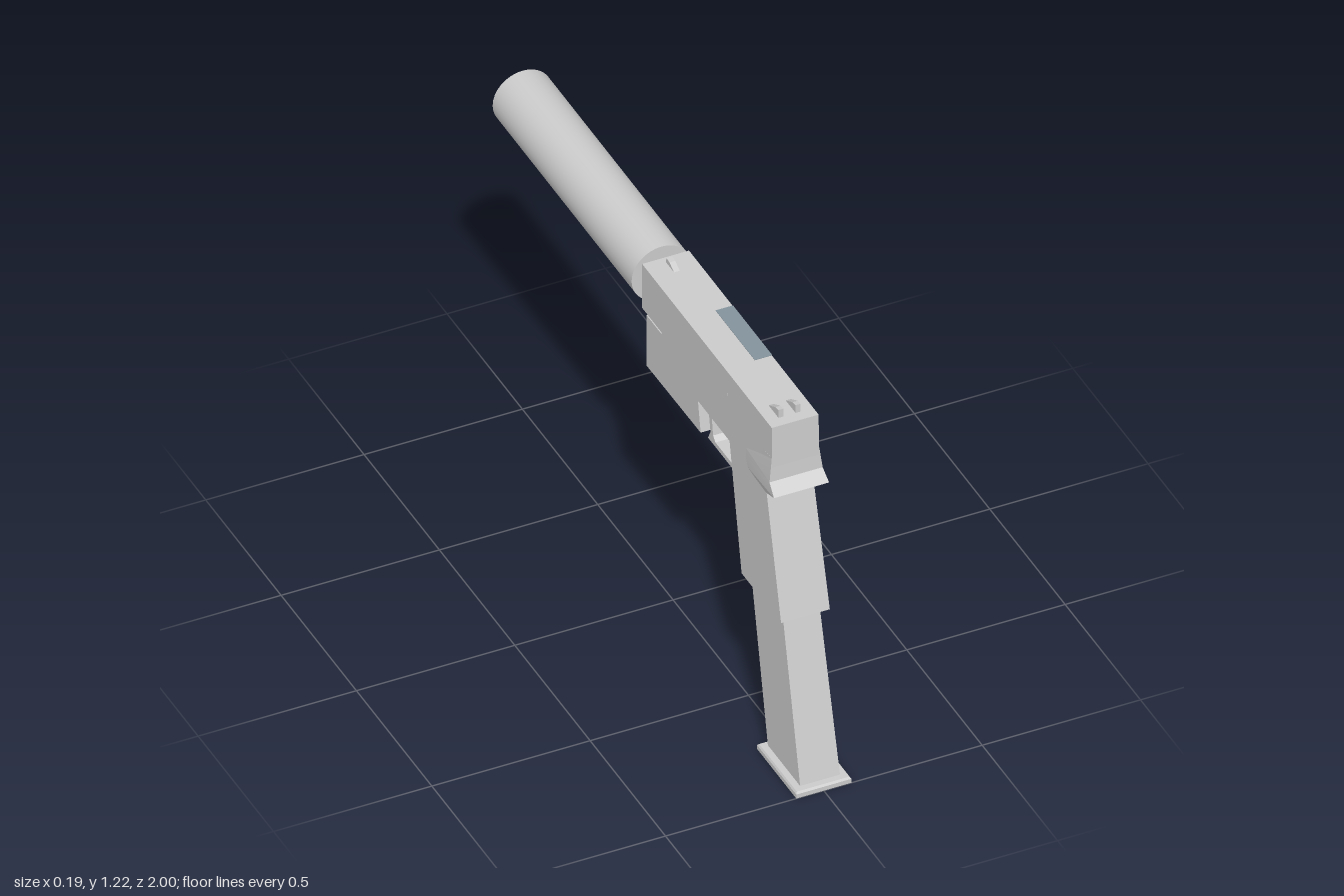
import * as THREE from 'three';
import { toCreasedNormals } from 'three/addons/utils/BufferGeometryUtils.js';

const grey = new THREE.MeshStandardMaterial({ color: 0xcccccc });
const portMaterial = new THREE.MeshStandardMaterial({ color: 0x84939c });

export function createModel() {
  const model = new THREE.Group();

  const add = (name, geometry, material = grey) => {
    const mesh = new THREE.Mesh(geometry, material);
    mesh.name = name;
    model.add(mesh);
    return mesh;
  };

  // Side profile of [z, y] points, extruded across x
  const slab = (points, halfWidth, x = 0) => {
    const shape = new THREE.Shape(points.map(([z, y]) => new THREE.Vector2(z, y)));
    return new THREE.ExtrudeGeometry(shape, { depth: halfWidth * 2, bevelEnabled: false })
      .translate(0, 0, -halfWidth).rotateY(-Math.PI / 2).translate(x, 0, 0);
  };

  // Profile of [radius, z] points, turned about the z axis at height y
  const turned = (points, y, segments = 32) => {
    const profile = points.map(([r, z]) => new THREE.Vector2(r, z));
    const g = new THREE.LatheGeometry(profile, segments).rotateX(Math.PI / 2).translate(0, y, 0);
    return toCreasedNormals(g, 0.6);
  };

  // Stack of four-sided sections: y, front z, back z, front and back half widths
  const stack = (sections) => {
    const pos = [], index = [];
    sections.forEach(([y, zf, zb, wf, wb]) =>
      pos.push(-wf, y, zf, wf, y, zf, wb, y, zb, -wb, y, zb));
    for (let s = 0; s < sections.length - 1; s++) {
      for (let i = 0; i < 4; i++) {
        const a = s * 4 + i, b = s * 4 + (i + 1) % 4;
        index.push(a, a + 4, b, b, a + 4, b + 4);
      }
    }
    const t = (sections.length - 1) * 4;
    index.push(0, 1, 2, 0, 2, 3, t, t + 2, t + 1, t, t + 3, t + 2);
    const g = new THREE.BufferGeometry();
    g.setAttribute('position', new THREE.Float32BufferAttribute(pos, 3));
    g.setIndex(index);
    return toCreasedNormals(g, 0.1);
  };

  // Slide, frame and grip in one outline, the grip a little wider at its foot
  const body = slab([
    [0.81, 1.19], [-0.05, 1.19], [-0.05, 1.033], [0.08, 1.033], [0.08, 1.02], [0.2, 1.02],
    [0.31, 0.953], [0.53, 0.953], [0.616, 0.54], [0.878, 0.54], [0.776, 0.937], [0.814, 1.0],
  ], 0.074);
  const p = body.attributes.position;
  for (let i = 0; i < p.count; i++) if (p.getY(i) < 0.6) p.setX(i, p.getX(i) * 1.04);
  body.computeVertexNormals();
  add('slideAndGrip', body);

  // Flared tang over the grip
  add('gripTang', stack([
    [0.937, 0.62, 0.776, 0.072, 0.076],
    [0.972, 0.62, 0.852, 0.073, 0.087],
    [1.003, 0.62, 0.816, 0.073, 0.084],
    [1.08, 0.62, 0.811, 0.073, 0.0745],
  ]));

  // Extended magazine and its base
  add('magazine', stack([
    [0.015, 0.762, 0.976, 0.063, 0.063],
    [0.56, 0.638, 0.845, 0.058, 0.058],
  ]));
  add('magazineBase', stack([
    [0, 0.74, 1.0, 0.087, 0.087],
    [0.014, 0.74, 1.0, 0.087, 0.087],
    [0.02, 0.745, 0.995, 0.083, 0.083],
  ]));

  // Trigger and guard
  add('triggerGuard', slab([
    [0.565, 0.808], [0.316, 0.808], [0.332, 0.84], [0.31, 0.96], [0.332, 0.96],
    [0.349, 0.838], [0.365, 0.824], [0.565, 0.824],
  ], 0.04));
  add('trigger', slab([
    [0.5, 0.96], [0.472, 0.868], [0.48, 0.868], [0.486, 0.91], [0.515, 0.96],
  ], 0.015));

  // Ejection port wrapping the left top edge
  add('ejectionPort', new THREE.BoxGeometry(0.055, 0.072, 0.26).translate(0.0475, 1.1555, 0.37), portMaterial);
  add('slidePin', new THREE.CylinderGeometry(0.005, 0.005, 0.15, 12).rotateZ(Math.PI / 2).translate(0, 1.108, 0.514));

  // Sights
  for (const x of [-0.028, 0.026]) {
    add('rearSight', slab([[0.775, 1.185], [0.775, 1.218], [0.755, 1.215], [0.7, 1.185]], 0.008, x));
  }
  add('frontSight', slab([[-0.03, 1.185], [-0.025, 1.207], [-0.005, 1.205], [0.035, 1.185]], 0.009));

  // Weapon light under the barrel
  add('lightHousing', slab([
    [0.2, 1.02], [-0.03, 1.02], [-0.03, 0.84], [0.33, 0.845], [0.31, 0.955],
  ], 0.07));
  add('lightLens', turned([
    [0, -0.045], [0.01, -0.045], [0.01, -0.057], [0.038, -0.057], [0.05, -0.05], [0.05, -0.02], [0, -0.02],
  ], 0.9, 24));
  add('lightKnob', turned([[0, -0.047], [0.02, -0.047], [0.02, -0.02], [0, -0.02]], 0.99, 16));

  // Barrel neck and bored suppressor
  add('barrel', turned([[0, -0.1], [0.037, -0.1], [0.037, 0], [0, 0]], 1.114, 24));
  add('suppressor', turned([
    [0, -0.6], [0.034, -0.6], [0.034, -1], [0.094, -1], [0.094, -0.078], [0, -0.078],
  ], 1.115));

  return model;
}
